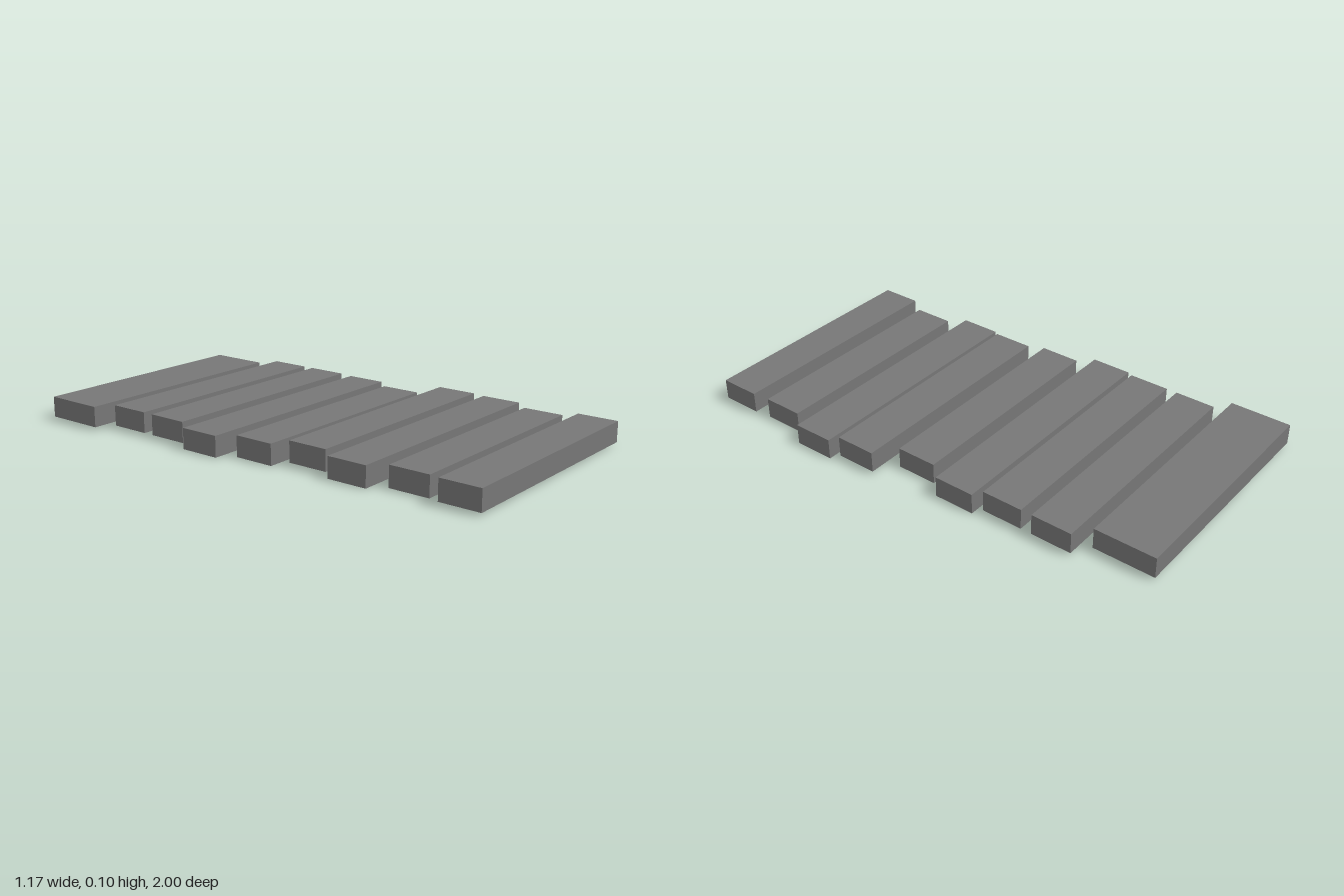
import * as THREE from 'three';

const HEIGHT = 0.086;
const RAISED = 0.012;

// Plank open at the bottom, spanning x0..x1 and z0..z1
function makePlank(x0, x1, z0, z1, y0, material) {
  const geometry = new THREE.BoxGeometry(x1 - x0, HEIGHT, z1 - z0);
  // Drop the underside (fourth face of the box, six indices per face)
  const index = Array.from(geometry.index.array);
  index.splice(18, 6);
  geometry.setIndex(index);
  geometry.clearGroups();
  const plank = new THREE.Mesh(geometry, material);
  plank.position.set((x0 + x1) / 2, y0 + HEIGHT / 2, (z0 + z1) / 2);
  return plank;
}

export function createModel() {
  const group = new THREE.Group();
  group.name = 'plankWalkway';
  const material = new THREE.MeshStandardMaterial({ color: 0x777777, side: THREE.DoubleSide });

  // Back to front: x0, x1, z0, z1, base height
  const planks = [
    [-0.586, 0.412, -1.0, -0.744, RAISED],
    [-0.516, 0.484, -0.699, -0.528, RAISED],
    [-0.516, 0.484, -0.482, -0.311, RAISED],
    [-0.543, 0.512, -0.28, -0.109, 0],
    [-0.487, 0.458, -0.052, 0.119, 0],
    [-0.442, 0.558, 0.17, 0.341, RAISED],
    [-0.469, 0.586, 0.371, 0.542, 0],
    [-0.413, 0.529, 0.6, 0.771, 0],
    [-0.45, 0.549, 0.829, 1.0, RAISED],
  ];
  planks.forEach((p, i) => {
    const plank = makePlank(...p, material);
    plank.name = i === 0 ? 'widePlank' : `plank${i}`;
    group.add(plank);
  });
  return group;
}
